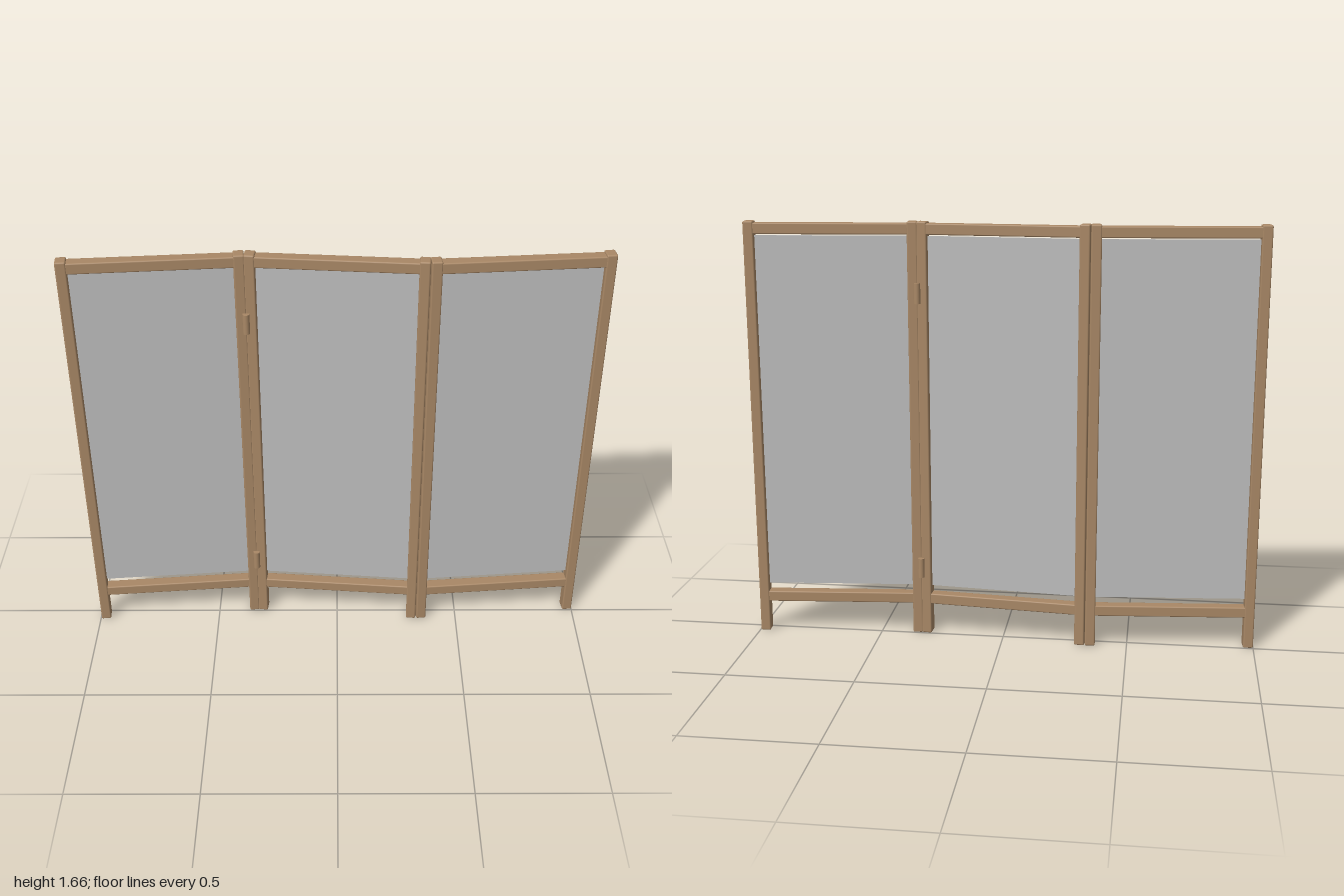
import * as THREE from 'three';
import { RoundedBoxGeometry } from 'three/addons/geometries/RoundedBoxGeometry.js';

const PANEL_W = 0.668, HEIGHT = 1.665, ANGLE = THREE.MathUtils.degToRad(5);
const POST_W = 0.04, POST_D = 0.05, RAIL_H = 0.043, RAIL_D = 0.046;

export function createModel() {
  const wood = new THREE.MeshStandardMaterial({ color: 0xa98866 });
  wood.name = 'wood';
  const cloth = new THREE.MeshStandardMaterial({ color: 0xbebebe });
  cloth.name = 'cloth';

  const add = (parent, name, geometry, material, x, y, z = 0) => {
    const mesh = new THREE.Mesh(geometry, material);
    mesh.name = name;
    mesh.position.set(x, y, z);
    parent.add(mesh);
  };

  const postGeo = new RoundedBoxGeometry(POST_W, HEIGHT, POST_D, 2, 0.006);
  const inner = PANEL_W - 2 * POST_W;
  const railGeo = new RoundedBoxGeometry(inner + 0.012, RAIL_H, RAIL_D, 2, 0.005);
  const clothGeo = new THREE.BoxGeometry(inner, 1.41, 0.005);

  const model = new THREE.Group();
  model.name = 'foldingScreen';
  const step = PANEL_W * Math.cos(ANGLE);

  // Three framed panels folded in a shallow zigzag
  for (const i of [-1, 0, 1]) {
    const panel = new THREE.Group();
    panel.name = ['rightPanel', 'middlePanel', 'leftPanel'][i + 1];
    panel.position.x = i * step;
    panel.rotation.y = i === 0 ? -ANGLE : ANGLE;
    for (const s of [-1, 1]) {
      add(panel, s < 0 ? 'rightPost' : 'leftPost', postGeo, wood, s * (PANEL_W - POST_W) / 2, HEIGHT / 2);
    }
    add(panel, 'topRail', railGeo, wood, 0, 1.637);
    add(panel, 'bottomRail', railGeo, wood, 0, 0.148);
    add(panel, 'clothSheet', clothGeo, cloth, 0, 0.905);
    model.add(panel);
  }

  // Hinge barrels on the inside of each fold
  const hingeGeo = new THREE.CylinderGeometry(0.013, 0.013, 0.08, 16);
  for (const s of [-1, 1]) {
    for (const y of [0.282, 1.393]) {
      add(model, 'hinge', hingeGeo, wood, s * step / 2, y, -s * 0.002);
    }
  }
  return model;
}
